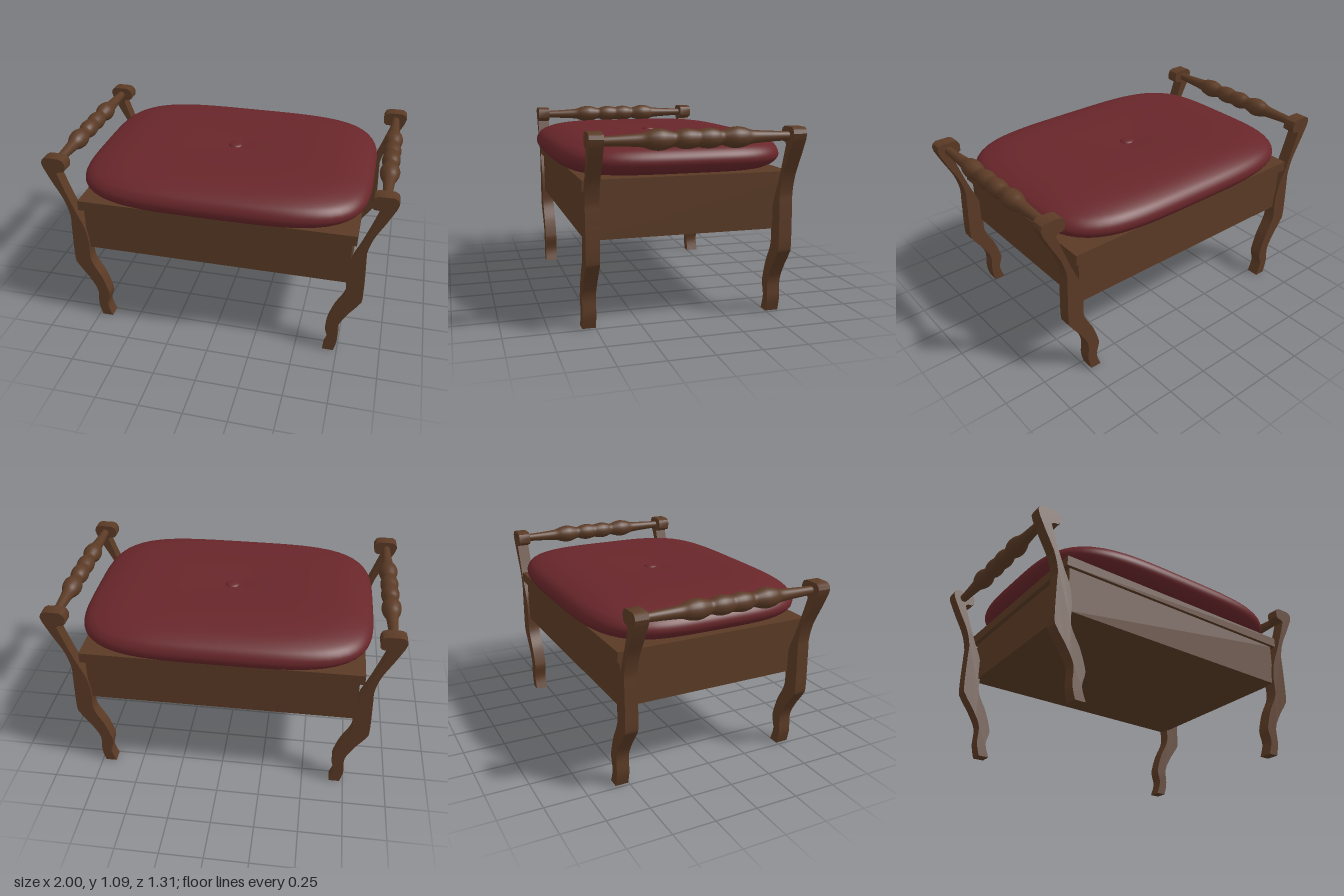
import * as THREE from 'three';
import { mergeVertices, toCreasedNormals } from 'three/addons/utils/BufferGeometryUtils.js';

const wood = new THREE.MeshStandardMaterial({ name: 'dark wood', color: 0x5a3a25 });
const fabric = new THREE.MeshStandardMaterial({ name: 'red upholstery', color: 0x68262a });

const vectors = (points) => points.map(([x, y]) => new THREE.Vector2(x, y));

export function createModel() {
  const group = new THREE.Group();
  const add = (name, geometry, material, x = 0, y = 0, z = 0) => {
    const mesh = new THREE.Mesh(geometry, material);
    mesh.name = name;
    mesh.position.set(x, y, z);
    group.add(mesh);
    return mesh;
  };

  // Box body and overhanging lid
  add('apron', new THREE.BoxGeometry(1.56, 0.265, 1.12), wood, 0, 0.6325, -0.004);
  add('lid', new THREE.BoxGeometry(1.612, 0.06, 1.162), wood, 0, 0.795, -0.005);

  // Curved legs that rise into scrolled arm posts
  const outer = [[0.73, 0], [0.748, 0.08], [0.746, 0.187], [0.79, 0.278], [0.85, 0.365],
    [0.868, 0.42], [0.864, 0.64], [0.863, 0.72], [0.89, 0.82], [0.95, 0.935], [0.992, 1.02]];
  const scroll = [[1.0, 1.05], [0.992, 1.071], [0.972, 1.083], [0.89, 1.083], [0.868, 1.073],
    [0.857, 1.05], [0.86, 1.015], [0.875, 1.002], [0.9, 1.0], [0.914, 0.988]];
  const inner = [[0.914, 0.988], [0.87, 0.86], [0.826, 0.745], [0.783, 0.64], [0.767, 0.53],
    [0.767, 0.41], [0.709, 0.292], [0.676, 0.19], [0.674, 0.15], [0.69, 0.08], [0.665, 0]];
  const legGeometry = (side) => {
    const flip = (points) => vectors(points.map(([x, y]) => [x * side, y]));
    const shape = new THREE.Shape();
    shape.moveTo(outer[0][0] * side, 0);
    shape.splineThru(flip(outer.slice(1)));
    for (const p of flip(scroll)) shape.lineTo(p.x, p.y);
    shape.splineThru(flip(inner.slice(1)));
    const geometry = new THREE.ExtrudeGeometry(shape, { depth: 0.075, bevelEnabled: false, curveSegments: 4 });
    return toCreasedNormals(geometry, 0.6);
  };

  // Turned rail: half a profile (radius, distance from middle), mirrored
  const half = [[0.044, 0], [0.049, 0.025], [0.053, 0.06], [0.048, 0.095], [0.038, 0.125],
    [0.044, 0.15], [0.054, 0.185], [0.056, 0.215], [0.049, 0.255], [0.037, 0.29],
    [0.032, 0.34], [0.027, 0.43], [0.024, 0.51]];
  const profile = [...half.slice(1).reverse().map(([r, d]) => [r, -d]), ...half];
  const curve = new THREE.SplineCurve(vectors(profile));
  const railGeometry = new THREE.LatheGeometry(curve.getPoints(72), 24);
  railGeometry.rotateX(Math.PI / 2);

  for (const side of [1, -1]) {
    const name = side > 0 ? 'left' : 'right';
    const leg = legGeometry(side);
    add(name + 'FrontLeg', leg, wood, 0, 0, 0.497);
    add(name + 'BackLeg', leg, wood, 0, 0, -0.578);
    add(name + 'TurnedRail', railGeometry, wood, 0.932 * side, 1.035, -0.003);
  }

  // Cushion: a lathe squared off into a rounded rectangle, dipped in the middle
  const cushionCurve = new THREE.SplineCurve(vectors([[0, 0.824], [0.5, 0.824], [0.84, 0.825],
    [0.93, 0.842], [0.983, 0.872], [1, 0.905], [0.983, 0.942], [0.93, 0.974],
    [0.8, 1.004], [0.6, 1.02], [0.4, 1.021], [0.2, 1.013], [0.06, 1.002], [0, 1.0]]));
  let cushion = new THREE.LatheGeometry(cushionCurve.getPoints(56), 96);
  const pos = cushion.attributes.position;
  for (let i = 0; i < pos.count; i++) {
    const x = pos.getX(i), z = pos.getZ(i);
    const r = Math.hypot(x, z);
    const f = r > 1e-6 ? r / Math.pow(x ** 4 + z ** 4, 0.25) : 0;
    pos.setX(i, x * f * 0.848);
    pos.setZ(i, z * f * 0.656);
  }
  cushion.deleteAttribute('uv');
  cushion.deleteAttribute('normal');
  cushion = mergeVertices(cushion, 1e-5);
  cushion.computeVertexNormals();
  add('cushion', cushion, fabric);

  // Tufting button
  const button = new THREE.SphereGeometry(0.042, 24, 8, 0, Math.PI * 2, 0, Math.PI / 2);
  button.scale(1, 0.35, 1);
  add('cushionButton', button, fabric, 0, 1.0, -0.003);

  return group;
}
